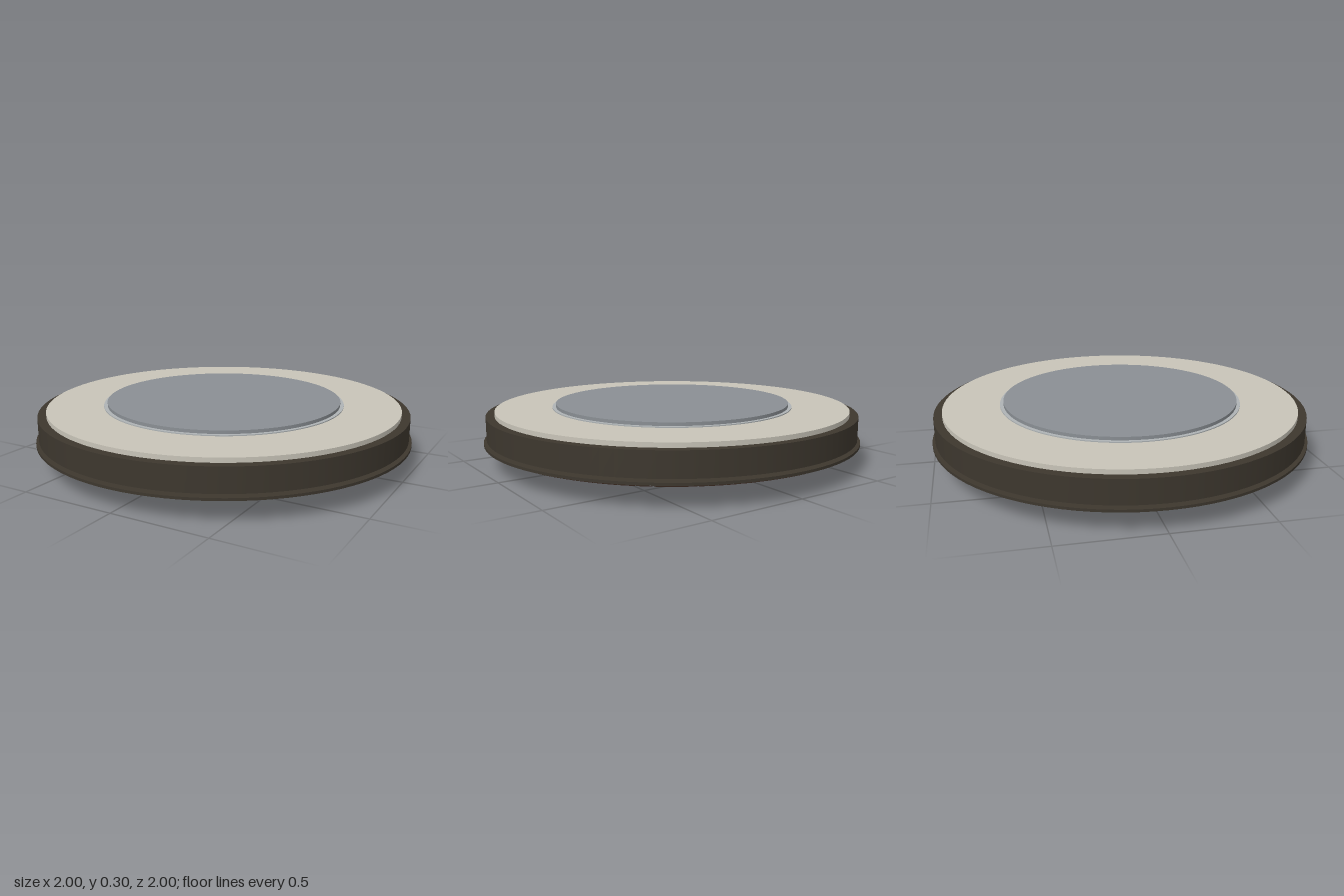
import * as THREE from 'three';
import { mergeGeometries } from 'three/addons/utils/BufferGeometryUtils.js';

const material = (name, color) => {
  const m = new THREE.MeshStandardMaterial({ color });
  m.name = name;
  return m;
};

const GROOVE = 0.011;                    // depth of the joints between tiles
const dish = (r) => 0.1 * r * r;         // shallow bowl under the body

// One padded tile: bulged across its width, with narrow joints at both sides
function tileGeometry(r0, r1, a0, a1) {
  const cols = 8, rows = 8;
  const g = new THREE.PlaneGeometry(1, 1, cols, rows);
  const p = g.attributes.position;
  for (let k = 0; k < p.count; k++) {
    const i = Math.round((p.getX(k) + 0.5) * cols);
    const v = p.getY(k) + 0.5;
    const u = i === 0 ? 0 : i === cols ? 1 : 0.04 + 0.92 * (i - 1) / (cols - 2);
    const side = i === 0 || i === cols ? 1 : 0;
    const recess = GROOVE * Math.max(side, (2 * v - 1) ** 2);
    const r = r0 + (r1 - r0) * v;
    const a = a0 + (a1 - a0) * u;
    p.setXYZ(k, r * Math.sin(a), dish(r) + recess, r * Math.cos(a));
  }
  g.computeVertexNormals();
  return g;
}

export function createModel() {
  const model = new THREE.Group();
  model.name = 'roundCapsuleBase';

  const tileBrown = material('tileBrown', 0x5a4234);
  const hullBrown = material('hullBrown', 0x3d372e);
  const cream = material('cream', 0xc8c4b8);
  const grey = material('grey', 0x8a8f94);
  const paleGrey = material('paleGrey', 0xaeb3b5);

  const add = (name, geometry, mat) => {
    const mesh = new THREE.Mesh(geometry, mat);
    mesh.name = name;
    model.add(mesh);
  };
  const disc = (name, radius, y0, y1, mat) => {
    const g = new THREE.CylinderGeometry(radius, radius, y1 - y0, 96);
    add(name, g.translate(0, (y0 + y1) / 2, 0), mat);
  };

  // Underside: rings of tiles, more of them towards the rim
  const radii = [0.16, 0.365, 0.615, 0.82, 1];
  [8, 14, 24, 32].forEach((count, ring) => {
    const step = Math.PI * 2 / count;
    const tiles = [];
    for (let i = 0; i < count; i++) {
      tiles.push(tileGeometry(radii[ring], radii[ring + 1], (i - 0.5) * step, (i + 0.5) * step));
    }
    add('tileRing' + (ring + 1), mergeGeometries(tiles), tileBrown);
  });

  // Central round tile with a small boss
  const centre = [[0, 0], [0.012, 0.001], [0.02, 0.005], [0.05, 0.003], [0.09, 0.002],
    [0.125, 0.005], [0.16, dish(0.16) + GROOVE]].map(([r, y]) => new THREE.Vector2(r, y));
  add('centreTile', new THREE.LatheGeometry(centre, 48), tileBrown);

  // Shield rim, then the separate body and its stacked top plates
  disc('shieldRim', 1, dish(1) + GROOVE, 0.124, hullBrown);
  disc('body', 0.985, 0.136, 0.257, hullBrown);
  disc('deckPlate', 0.94, 0.257, 0.28, cream);
  disc('hatchRing', 0.643, 0.28, 0.285, paleGrey);
  disc('hatch', 0.624, 0.285, 0.302, grey);

  return model;
}
